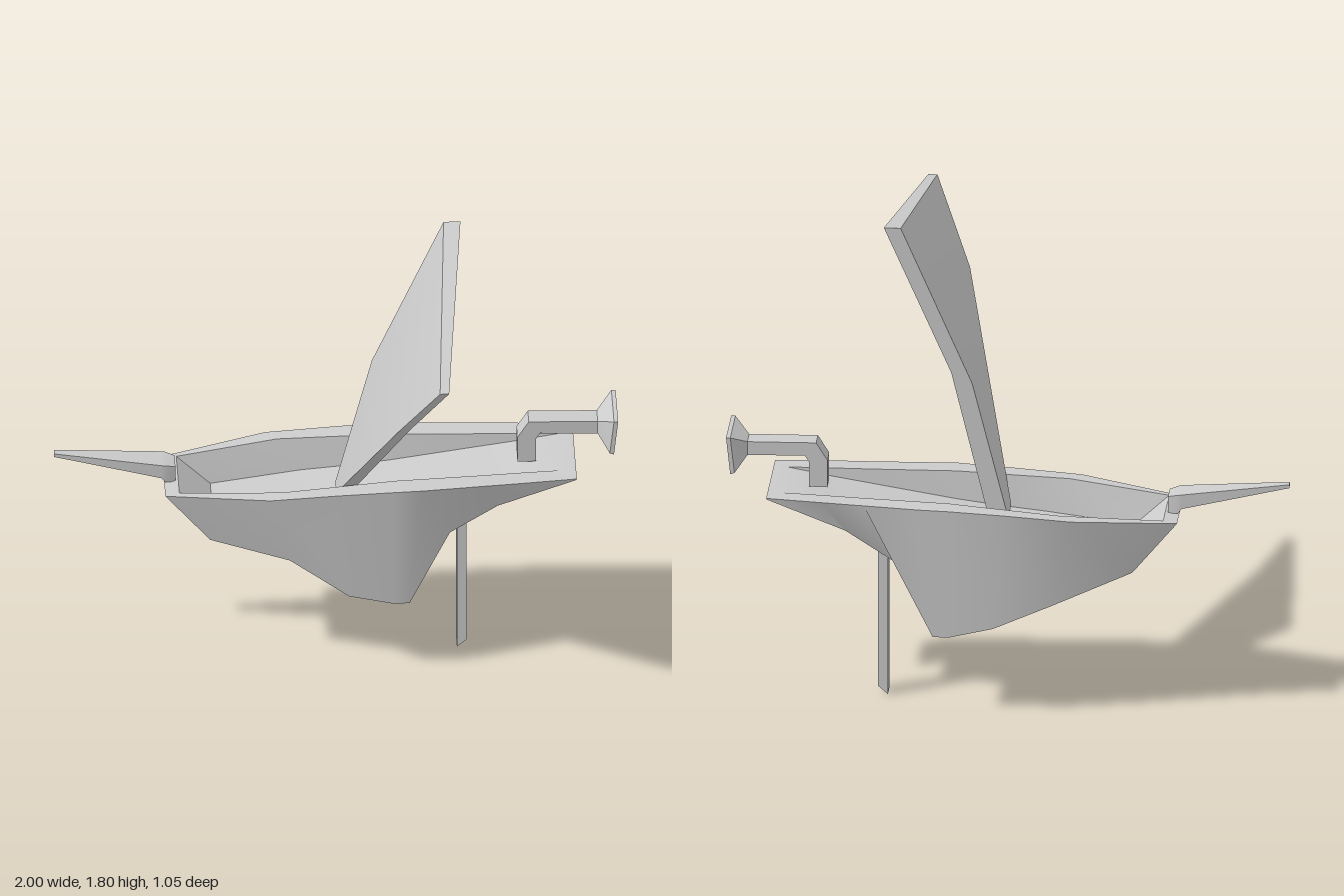
import * as THREE from 'three';
import { toCreasedNormals } from 'three/addons/utils/BufferGeometryUtils.js';

const MID = -0.31; // z of the boat's centre line
const material = new THREE.MeshStandardMaterial({ color: 0xcccccc, side: THREE.DoubleSide });

// Skin a list of equal-length point rings, closing the ends with the given quads
function loft(name, rings, caps = [[0, 1, 2, 3]], crease = 0.3) {
  let tris = [];
  const quad = (a, b, c, d) => tris.push([a, b, c], [a, c, d]);
  const n = rings[0].length;
  for (let s = 0; s < rings.length - 1; s++) {
    for (let i = 0; i < n; i++) {
      const j = (i + 1) % n;
      quad(rings[s][i], rings[s + 1][i], rings[s + 1][j], rings[s][j]);
    }
  }
  const last = rings[rings.length - 1];
  for (const c of caps) {
    quad(...c.map((i) => rings[0][i]));
    quad(...c.map((i) => last[i]).reverse());
  }
  // Turn the skin outwards if its enclosed volume is negative
  const vec = (p) => new THREE.Vector3(...p);
  const volume = tris.reduce((v, [a, b, c]) => v + vec(a).dot(vec(b).cross(vec(c))), 0);
  if (volume < 0) tris = tris.map(([a, b, c]) => [a, c, b]);
  const geometry = new THREE.BufferGeometry();
  geometry.setAttribute('position', new THREE.Float32BufferAttribute(tris.flat(2), 3));
  const mesh = new THREE.Mesh(toCreasedNormals(geometry, crease), material);
  mesh.name = name;
  return mesh;
}

// Four-cornered ring spanning two profile points, mirrored about the centre line
const band = ([xa, ya, xb, yb, h], z = MID) => [
  [xa, ya, z + h], [xb, yb, z + h], [xb, yb, z - h], [xa, ya, z - h],
];

function createHull() {
  // Per station: rim, keel, inner rim and floor, each as x, y, half width
  const stations = [
    [[-0.61, 0.745, 0.125], [-0.45, 0.545, 0.115], [-0.56, 0.75, 0.115], [-0.44, 0.64, 0.10]],
    [[-0.24, 0.775, 0.215], [-0.17, 0.43, 0.17], [-0.2, 0.777, 0.168], [-0.12, 0.66, 0.14]],
    [[0, 0.79, 0.217], [0.04, 0.345, 0.202], [0.05, 0.791, 0.155], [0.05, 0.68, 0.133]],
    [[0.2, 0.8, 0.22], [0.2, 0.3, 0.19], [0.2, 0.8, 0.147], [0.2, 0.7, 0.13]],
    [[0.3, 0.8, 0.215], [0.255, 0.3, 0.188], [0.35, 0.801, 0.139], [0.35, 0.725, 0.127]],
    [[0.5, 0.802, 0.2], [0.4, 0.57, 0.145], [0.5, 0.802, 0.131], [0.5, 0.75, 0.124]],
    [[0.65, 0.804, 0.19], [0.57, 0.68, 0.145], [0.65, 0.804, 0.123], [0.65, 0.776, 0.119]],
    [[0.85, 0.805, 0.172], [0.847, 0.8, 0.172], [0.8, 0.805, 0.115], [0.8, 0.805, 0.115]],
  ];
  const rings = stations.map(([rim, keel, inner, floor]) => {
    const at = ([x, y, h], side) => [x, y, MID + side * h];
    return [at(rim, 1), at(keel, 1), at(keel, -1), at(rim, -1),
      at(inner, -1), at(floor, -1), at(floor, 1), at(inner, 1)];
  });
  rings[1][1][1] = 0.485; // the front side is pinched upwards behind the bow
  return loft('hull', rings, [[0, 1, 2, 3], [0, 3, 4, 7], [7, 4, 5, 6]], 0.6);
}

function createSail() {
  // Bent slab, thick along the straight back edge and thin along the slanted one
  return loft('sail', [
    [[0, 0.69, -0.325], [0.07, 0.69, -0.325], [0.05, 0.71, -0.23], [0, 0.71, -0.23]],
    [[0.13, 1.21, -0.325], [0.205, 1.25, -0.325], [0.235, 1.37, 0.345], [0.2, 1.37, 0.345]],
    [[0.385, 1.8, -0.325], [0.445, 1.8, -0.325], [0.365, 1.645, 0.525], [0.333, 1.645, 0.525]],
  ]);
}

function createBowsprit() {
  return loft('bowsprit', [
    [-0.57, 0.81, -0.57, 0.745, 0.035],
    [-0.605, 0.82, -0.605, 0.75, 0.045],
    [-0.62, 0.822, -0.62, 0.768, 0.045],
    [-1, 0.863, -1, 0.85, 0.013],
  ].map((s) => band(s)));
}

function createHorn() {
  // Square pipe that bends aft and flares into a shallow rectangular mouth
  return loft('sternHorn', [
    [0.645, 0.795, 0.71, 0.795, 0.035],
    [0.645, 0.9, 0.71, 0.89, 0.035],
    [0.685, 0.965, 0.725, 0.915, 0.035],
    [0.93, 0.96, 0.93, 0.908, 0.035],
    [0.985, 1, 0.97, 0.865, 0.1],
    [1, 1, 0.985, 0.86, 0.1],
    [0.997, 0.99, 0.985, 0.87, 0.092],
    [0.988, 0.988, 0.975, 0.872, 0.09],
  ].map((s) => band(s, -0.305)));
}

function createRudderPost() {
  // Square post with a slanted foot
  return loft('rudderPost', [
    [0.43, 0.61, 0.465, 0.63, 0.027],
    [0.43, 0, 0.465, 0.03, 0.027],
  ].map((s) => band(s, -0.303)));
}

export function createModel() {
  const model = new THREE.Group();
  model.name = 'sailingBoat';
  model.add(createHull(), createSail(), createBowsprit(), createHorn(), createRudderPost());
  return model;
}
